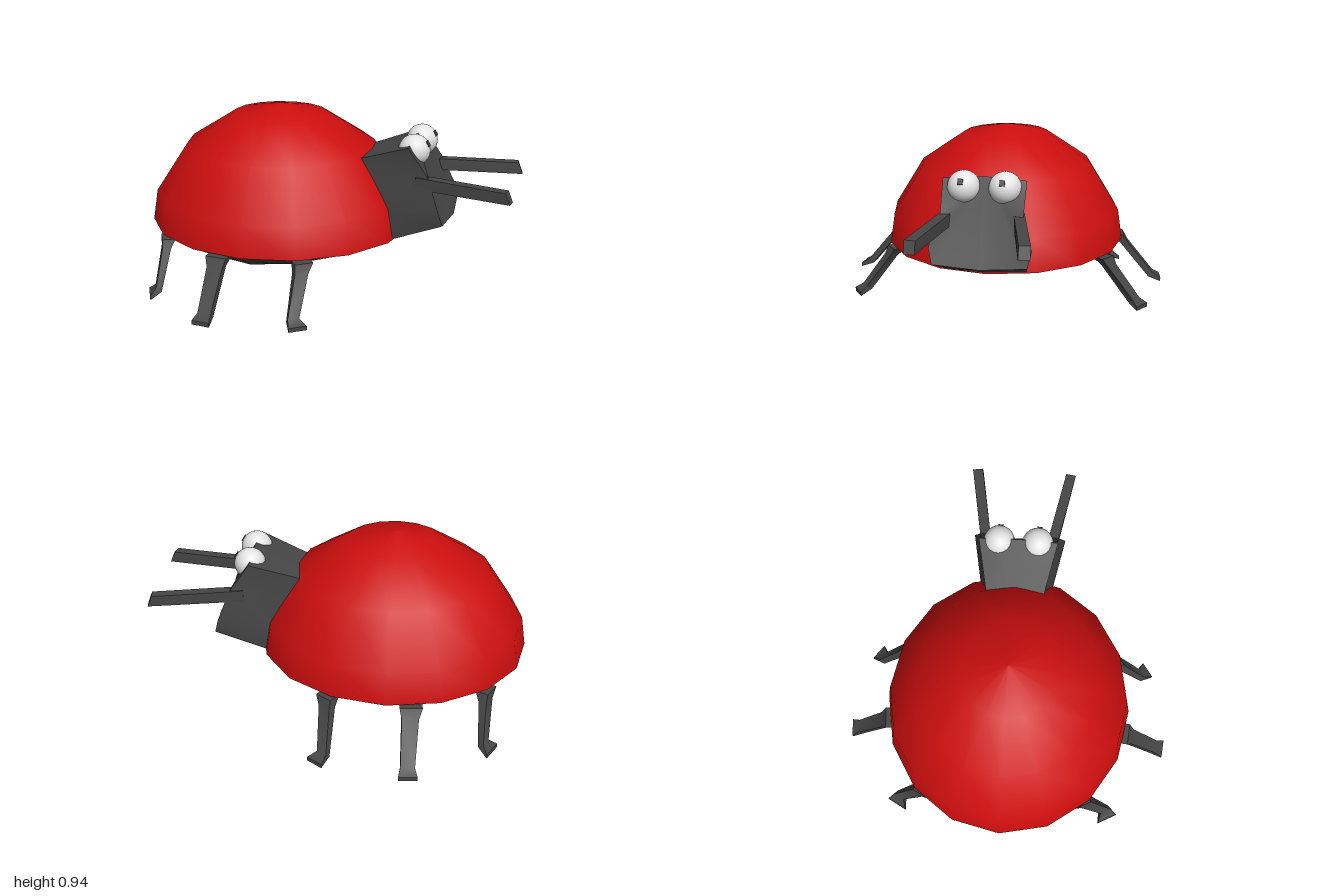
import * as THREE from 'three';
import { toCreasedNormals } from 'three/addons/utils/BufferGeometryUtils.js';

const red = new THREE.MeshStandardMaterial({ color: 0xcc0e0e, side: THREE.DoubleSide });
red.name = 'shell red';
const dark = new THREE.MeshStandardMaterial({ color: 0x464646 });
dark.name = 'body grey';
const white = new THREE.MeshStandardMaterial({ color: 0xe4e4e4 });
white.name = 'eye white';

const V = (x, y, z) => new THREE.Vector3(x, y, z);

// Closed skin through rings of equal point count, always facing outward
function loft(rings, crease = 0.7) {
  const n = rings[0].length, pts = rings.flat(), tris = [];
  for (let r = 0; r < rings.length - 1; r++) {
    for (let i = 0; i < n; i++) {
      const a = r * n + i, b = r * n + (i + 1) % n;
      tris.push([a, b, b + n], [a, b + n, a + n]);
    }
  }
  const last = (rings.length - 1) * n;
  for (let i = 1; i < n - 1; i++) {
    tris.push([0, i + 1, i], [last, last + i, last + i + 1]);
  }
  const mid = pts.reduce((s, p) => s.add(p), V(0, 0, 0)).divideScalar(pts.length);
  const rel = pts.map(p => p.clone().sub(mid));
  const volume = tris.reduce((s, [a, b, c]) => s + rel[a].dot(rel[b].clone().cross(rel[c])), 0);
  if (volume < 0) tris.forEach(t => t.reverse());
  const g = new THREE.BufferGeometry();
  g.setAttribute('position', new THREE.Float32BufferAttribute(pts.flatMap(p => p.toArray()), 3));
  g.setIndex(tris.flat());
  return toCreasedNormals(g, crease);
}

// Rectangle round a centre, spanned by two directions
function rect(c, t, w, u, h) {
  return [[1, 1], [-1, 1], [-1, -1], [1, -1]].map(([i, j]) =>
    c.clone().addScaledVector(t, i * w / 2).addScaledVector(u, j * h / 2));
}

export function createModel() {
  const model = new THREE.Group();
  const add = (name, geometry, material) => {
    const m = new THREE.Mesh(geometry, material);
    m.name = name;
    model.add(m);
    return m;
  };
  const CX = -0.285, SX = 1.083;

  // Domed shell, sixteen sides
  const profile = [[0.66, 0.305], [0.635, 0.47], [0.475, 0.73], [0.235, 0.895], [0, 0.945]]
    .map(p => new THREE.Vector2(...p));
  add('shell', new THREE.LatheGeometry(profile, 16).scale(SX, 1, 1).translate(CX, 0, 0), red);

  // Underside, dipping a little at both flanks
  const ring = (r, y, dip) => Array.from({ length: 16 }, (_, i) => {
    const a = i * Math.PI / 8, s = Math.abs(Math.sin(a));
    return V(CX + SX * r * Math.cos(a), y - dip * s ** 4, r * Math.sin(a));
  });
  add('belly', loft([ring(0.6, 0.33, 0), ring(0.655, 0.308, 0), ring(0.525, 0.262, 0.042),
    ring(0.02, 0.258, 0)]), dark);

  // Head, wider at the cheeks; each ring lists one side and is mirrored
  const headRing = (top, side, bottom) => [
    V(...top, 0), ...side.map(p => V(...p)), V(...bottom, 0),
    ...side.slice().reverse().map(([x, y, z]) => V(x, y, -z))];
  add('head', loft([
    headRing([0.17, 0.715], [[0.17, 0.71, 0.15], [0.22, 0.6, 0.16], [0.27, 0.45, 0.18], [0.3, 0.285, 0.18]], [0.27, 0.262]),
    headRing([0.23, 0.735], [[0.23, 0.73, 0.16], [0.29, 0.6, 0.17], [0.35, 0.45, 0.2], [0.39, 0.31, 0.2]], [0.39, 0.297]),
    headRing([0.46, 0.825], [[0.46, 0.81, 0.21], [0.57, 0.65, 0.205], [0.628, 0.5, 0.255], [0.65, 0.42, 0.235]], [0.67, 0.41]),
  ], 0.8), dark);

  // Leg stations: hip, thigh, ankle, toe; toeDir is the way the foot points
  const legs = [
    { name: 'frontLeg', hip: [0.01, 0.29, 0.57], ankle: [0.015, 0.05, 0.745], toe: [0.055, 0.027, 0.79], dir: [0.57, 0.82], w: 0.07, foot: 0.095 },
    { name: 'middleLeg', hip: [-0.41, 0.3, 0.63], ankle: [-0.41, 0.06, 0.83], toe: [-0.415, 0.037, 0.885], dir: [-0.1, 0.995], w: 0.085, foot: 0.095 },
    { name: 'backLeg', hip: [-0.785, 0.28, 0.42], ankle: [-0.785, 0.045, 0.57], toe: [-0.83, 0.012, 0.587], dir: [-0.88, 0.47], w: 0.07, foot: 0.115 },
  ];

  for (const side of [1, -1]) {
    const mirror = rings => rings.map(r => r.map(p => V(p.x, p.y, p.z * side)));
    const label = side > 0 ? 'near' : 'far';

    for (const L of legs) {
      const t = V(L.dir[1], 0, -L.dir[0]), out = V(L.dir[0], 0, L.dir[1]);
      const hip = V(...L.hip), ankle = V(...L.ankle), toe = V(...L.toe);
      const thigh = hip.clone().lerp(ankle, 0.2);
      const bend = out.clone().add(V(0, 0.8, 0)).normalize();
      add(L.name + label, loft(mirror([
        rect(hip, t, L.w * 1.35, out, 0.07),
        rect(thigh, t, L.w, out, 0.045),
        rect(ankle, t, L.w * 0.85, bend, 0.035),
        rect(toe, t, L.foot, V(0, 1, 0), 0.022),
      ])), dark);
    }

    // Feeler with a slanted tip
    const t = V(-0.16, 0, 0.987);
    add('feeler' + label, loft(mirror([
      rect(V(0.5, 0.625, 0.175), t, 0.055, V(0, 1, 0), 0.062),
      rect(V(0.98, 0.614, 0.262), t, 0.055, V(-0.4, 1, 0), 0.06),
    ])), dark);

    // Eye with a small square pupil plate
    const centre = V(0.47, 0.772, 0.103 * side);
    add('eye' + label, new THREE.SphereGeometry(0.083, 20, 14).translate(...centre.toArray()), white);
    const pupil = add('pupil' + label, new THREE.BoxGeometry(0.026, 0.03, 0.008), dark);
    const look = V(0.86, 0.5, 0.06).normalize();
    pupil.position.copy(centre).addScaledVector(look, 0.083);
    pupil.lookAt(centre.clone().addScaledVector(look, 1));
  }
  return model;
}
